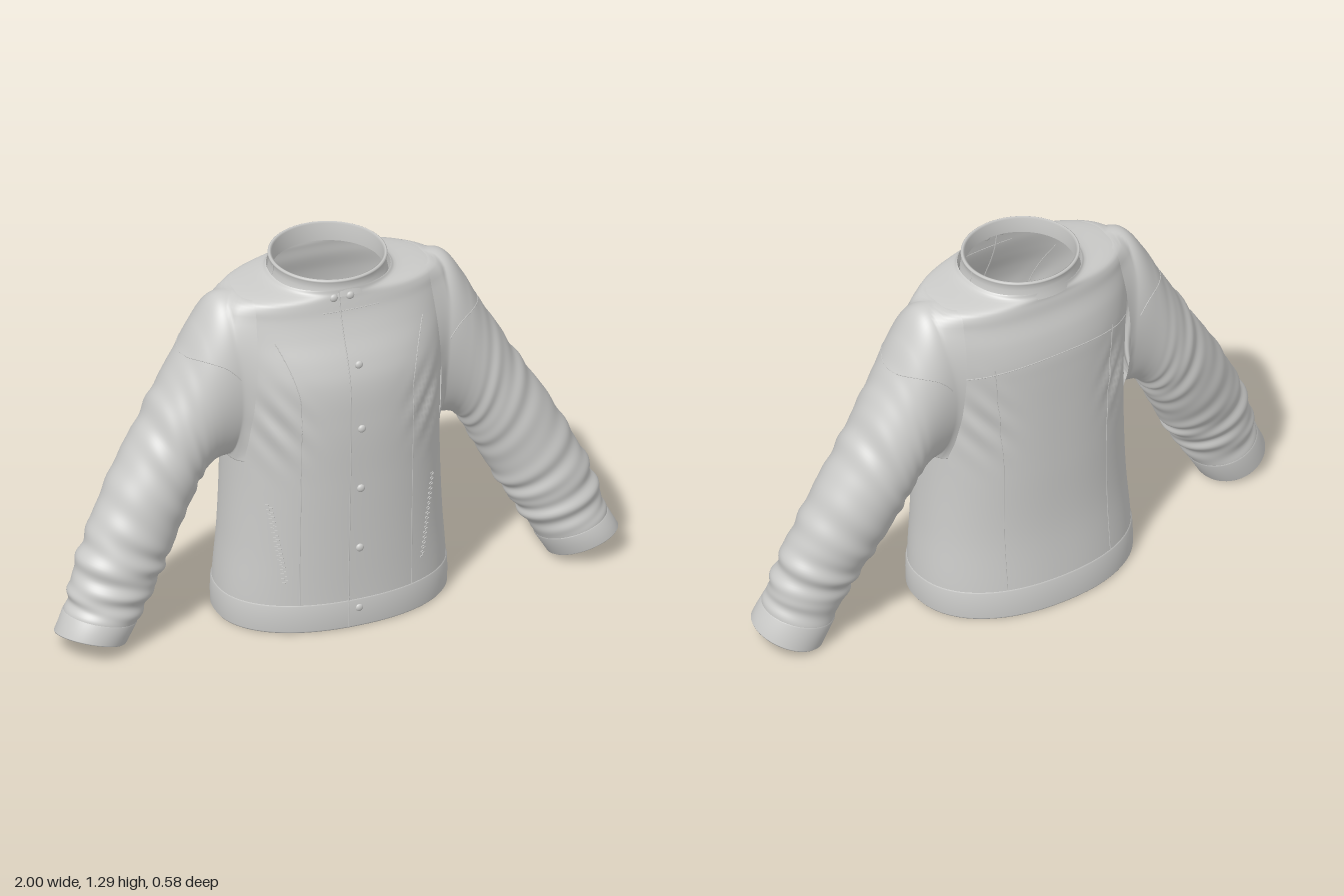
import * as THREE from 'three';

const fabric = new THREE.MeshStandardMaterial({ color: 0xcbcbc9, side: THREE.DoubleSide });
fabric.name = 'light grey fabric';

// Smooth interpolation through rows of [key, a, b, ...]
function table(rows) {
  const size = rows[0].length - 1;
  const curve = new THREE.CubicInterpolant(
    rows.map(r => r[0]), rows.flatMap(r => r.slice(1)), size, new Float32Array(size));
  return k => Array.from(curve.evaluate(k));
}

// Torso sections: height, half width, front depth, back depth
const torsoAt = table([
  [0, .40, .260, .280], [.1, .40, .260, .270], [.3, .385, .266, .252], [.55, .375, .276, .25],
  [.78, .376, .284, .25], [.93, .385, .276, .25], [1.0, .39, .255, .248], [1.08, .395, .22, .234],
  [1.15, .392, .195, .212], [1.19, .382, .187, .206], [1.207, .355, .184, .203],
  [1.216, .30, .183, .203], [1.224, .236, .182, .202], [1.24, .205, .181, .201],
]);

// Sleeve sections: index, outer edge x y, inner edge x y, centre z, half depth
const sleeveAt = table([
  [0, .31, 1.211, .35, .62, -.008, .160], [1, .41, 1.200, .375, .605, -.010, .160],
  [2, .478, 1.11, .41, .600, -.012, .158], [3, .53, 1.01, .44, .585, -.014, .156],
  [4, .60, .89, .47, .550, -.014, .154], [5, .68, .75, .50, .490, -.008, .150],
  [6, .765, .615, .535, .42, .002, .144], [7, .84, .475, .58, .33, .018, .136],
  [8, .90, .35, .62, .26, .034, .128], [9, .94, .24, .66, .19, .046, .122],
  [10, .96, .16, .715, .10, .056, .119], [11, 1.0, .078, .77, .010, .062, .119],
]);

const bump = (v, mid, width) => Math.exp(-(((v - mid) / width) ** 2));
const spow = (v, p) => Math.sign(v) * Math.abs(v) ** p;

// Diagonal pulls in the cloth beside the armpits
function folds(x, y) {
  const ax = Math.abs(x);
  return .008 * Math.sin((.8 * ax - .59 * y) * 80) * bump(ax, .27, .075) * bump(y, .78, .12);
}

function torsoPoint(y, a, grow = 0) {
  const [w, f, b] = torsoAt(y);
  const c = Math.cos(a), s = Math.sin(a), p = 2 / 2.2;
  const x = spow(c, p) * (w + grow);
  const z = spow(s, p) * ((s > 0 ? f : b) + grow);
  return new THREE.Vector3(x, y, z + Math.sign(s) * folds(x, y) * Math.min(1, Math.abs(s) * 3));
}

// Point on the torso front (side 1) or back (side -1) above a given x, y
function onTorso(x, y, side, grow = 0) {
  const [w, f, b] = torsoAt(y);
  const d = (1 - Math.min(1, Math.abs(x) / w) ** 2.2) ** (1 / 2.2);
  return new THREE.Vector3(x, y, side * (d * (side > 0 ? f : b) + folds(x, y) + grow));
}

function sleevePoint(t, a, side, grow = 0) {
  const [ox, oy, ix, iy, cz, hz] = sleeveAt(t);
  const amp = .035 * bump(t, 8.6, 1.9) * (t > 10.2 ? .3 : 1) + .02 * bump(t, 4.6, 1.1);
  const k = 1 + amp * (Math.sin(t * 6.4 + 1.3 * Math.sin(a + side * .6)) + .6 * Math.sin(t * 10 + 2 * Math.cos(a)));
  const hx = (ox - ix) / 2, hy = (oy - iy) / 2;
  const r = k + grow / Math.hypot(hx, hy), c = Math.cos(a), s = Math.sin(a);
  // The cuff opening tips forward
  const tip = .024 * s * THREE.MathUtils.smoothstep(t, 9.3, 11);
  const p = new THREE.Vector3(
    side * ((ox + ix) / 2 + hx * c * r), (oy + iy) / 2 + hy * c * r + tip, cz + s * (hz * k + grow));
  // Melt the sleeve head into the chest and back
  if (t < 3.5 && Math.abs(s) > 1e-6) {
    const face = Math.sign(s), zs = p.z * face, zt = onTorso(p.x, p.y, face, .001).z * face;
    if (zt > .002) {
      const soft = Math.min(.07, zt);
      const h = Math.max(soft - Math.abs(zs - zt), 0) / soft;
      p.z = face * (Math.max(zs, zt) + h * h * soft / 4);
    }
  }
  return p;
}

// Closed rings joined into one smooth skin; point(row, angle)
function loft(rows, sides, point) {
  const pos = [], index = [];
  rows.forEach((row, j) => {
    for (let i = 0; i < sides; i++) {
      pos.push(...point(row, i / sides * Math.PI * 2).toArray());
      if (j === 0) continue;
      const n = (i + 1) % sides, a = (j - 1) * sides, b = j * sides;
      index.push(a + i, b + i, b + n, a + i, b + n, a + n);
    }
  });
  const g = new THREE.BufferGeometry();
  g.setAttribute('position', new THREE.Float32BufferAttribute(pos, 3));
  g.setIndex(index);
  g.computeVertexNormals();
  return g;
}

const steps = (n, from, to) => Array.from({ length: n + 1 }, (_, i) => from + (to - from) * i / n);

export function createModel() {
  const jacket = new THREE.Group();
  jacket.name = 'jacket';
  const add = (name, geometry) => {
    const mesh = new THREE.Mesh(geometry, fabric);
    mesh.name = name;
    jacket.add(mesh);
    return mesh;
  };
  const seam = (name, points, radius = .0018) => add(name,
    new THREE.TubeGeometry(new THREE.CatmullRomCurve3(points), points.length * 2, radius, 5));

  // Body, with rows closer together over the shoulders
  const heights = steps(72, 0, 1).map(v => .06 + 1.18 * (1 - (1 - v) ** 2));
  add('body', loft(heights, 128, (y, a) => torsoPoint(y, a)));

  // Hem band: outside wall, rolled edges and inside wall
  const hemRows = [[.104, -.002], [.1, .004], [.05, .005], [.006, .004], [0, 0], [.002, -.010], [.1, -.012]];
  add('hemBand', loft(hemRows, 96, ([y, g], a) => torsoPoint(y, a, g)));

  // Stand collar, slightly higher at the back
  const collarRows = [[1.215, .202], [1.232, .198], [1.25, .194], [1.268, .195], [1.274, .199],
    [1.28, .199], [1.283, .194], [1.279, .186], [1.22, .186]];
  const collarPoint = ([y, r], a) => {
    const z = Math.sin(a) * (r - .004) - .011;
    return new THREE.Vector3(Math.cos(a) * r, y - z * .03 * (y > 1.24 ? 1 : 0), z);
  };
  add('collar', loft(collarRows, 80, collarPoint));

  for (const side of [1, -1]) {
    const label = side > 0 ? 'left' : 'right';

    // Sleeve with gathered folds
    add(label + 'Sleeve', loft(steps(150, 0, 10.9), 80, (t, a) => sleevePoint(t, a, side)));

    // Cuff with a turned-in edge
    const cuffRows = [[10.1, -.003], [10.16, .003], [10.6, .004], [10.95, .004], [11, 0], [10.98, -.010], [10.3, -.012]];
    add(label + 'Cuff', loft(cuffRows, 56, ([t, g], a) => sleevePoint(t, a, side, g)));

    // Upper sleeve seam, front and back
    for (const face of [1, -1]) {
      seam(label + (face > 0 ? 'Front' : 'Back') + 'SleeveSeam',
        steps(20, 0, 1.1).map(v => sleevePoint(3 - 2.1 * v, face * Math.acos(1 - .78 * v), side)));
    }

    // Long shaping seams on the front and back
    const frontX = y => .2 + .065 * Math.max(0, (y - .85) / .23) ** 1.6;
    seam(label + 'FrontPanelSeam', steps(40, .105, 1.08).map(y => onTorso(side * frontX(y), y, 1)));
    const backX = y => .205 + .03 * Math.max(0, (y - .6) / .4);
    seam(label + 'BackPanelSeam', steps(40, .105, 1.0).map(y => onTorso(side * backX(y), y, -1)));

    // Slanted pocket zip: staggered teeth along a line
    const tooth = new THREE.BoxGeometry(.012, .004, .006);
    const zip = new THREE.Group();
    zip.name = label + 'PocketZip';
    steps(34, 0, 1).forEach((v, i) => {
      const m = new THREE.Mesh(tooth, fabric);
      m.name = 'zipTooth';
      m.position.copy(onTorso(side * (.245 + .048 * v) + (i % 2 ? .004 : -.004), .19 + .29 * v, 1));
      m.rotation.y = side * .6;
      zip.add(m);
    });
    jacket.add(zip);

    // Short seam on the side of the collar
    seam(label + 'CollarSideSeam', steps(4, 1.225, 1.275).map(y =>
      collarPoint([y, y < 1.24 ? .2 : .196], side > 0 ? 0 : Math.PI)), .0014);
  }

  // Yoke seam across the back
  seam('yokeSeam', steps(40, -.33, .33).map(x => onTorso(x, 1.0 - .35 * x * x, -1)));

  // Front closure: placket edge, collar base stitch and domed snap buttons
  seam('placketSeam', steps(60, .004, 1.235).map(y => onTorso(-.037, y, 1, y < .1 ? .004 : 0)), .0025);
  seam('collarFrontSeam', steps(12, -.1, .1).map(x => onTorso(x, 1.165, 1)), .0014);
  const dome = new THREE.SphereGeometry(.014, 20, 12);
  for (const [x, y] of [[0, .07], [0, .30], [0, .53], [0, .76], [0, .99], [0, 1.215], [-.058, 1.215]]) {
    const button = add('button', dome);
    button.position.copy(onTorso(x, y, 1, .002));
    button.scale.z = .6;
  }
  return jacket;
}
